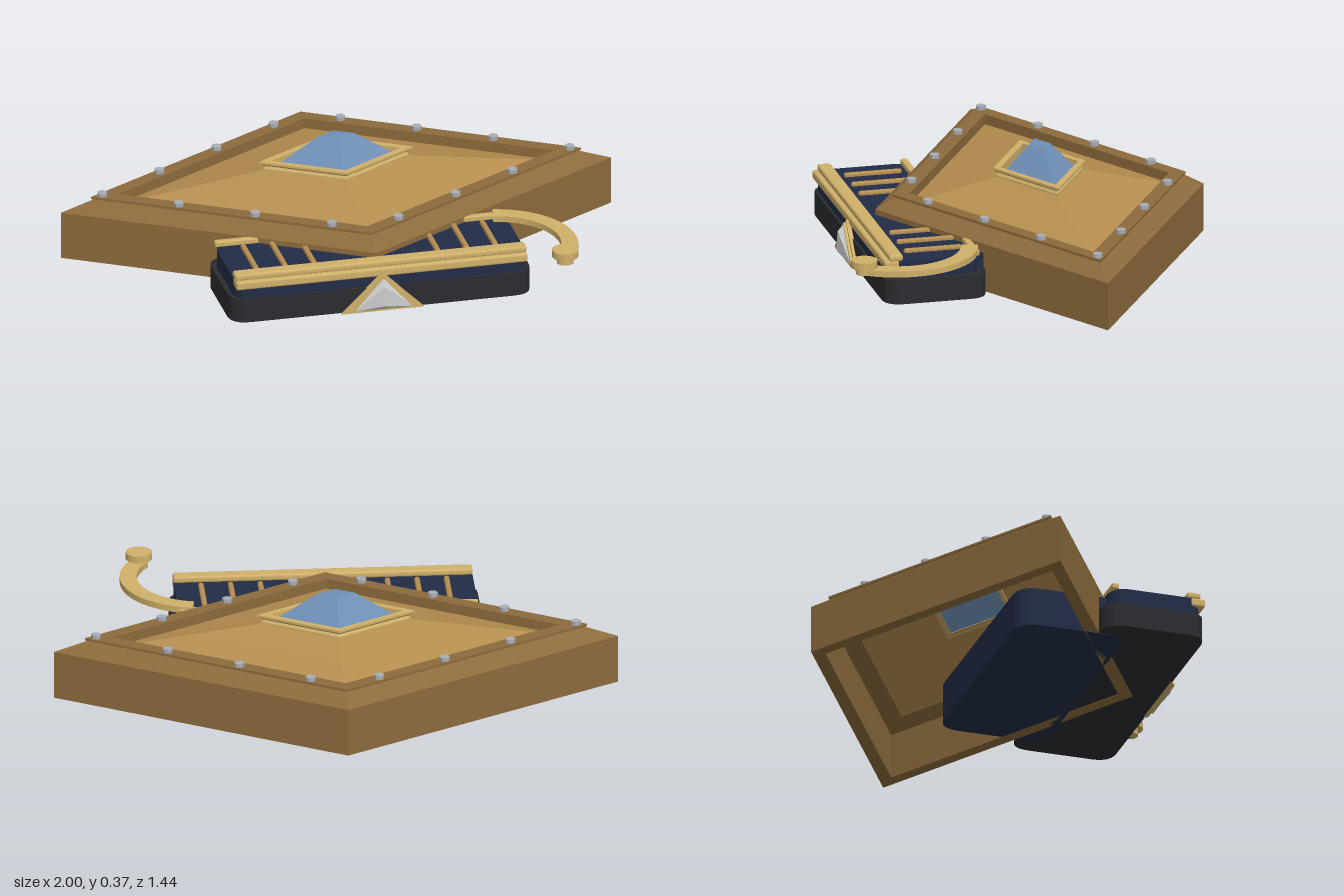
import * as THREE from 'three';
import { RoundedBoxGeometry } from 'three/addons/geometries/RoundedBoxGeometry.js';
import { ConvexGeometry } from 'three/addons/geometries/ConvexGeometry.js';

const mat = (color) => new THREE.MeshStandardMaterial({ color, flatShading: true, side: THREE.DoubleSide });
const BRONZE = mat(0x8c6b3c), PANEL = mat(0xb68e50), GOLD = mat(0xcfb06a), GLASS = mat(0x6f8fb5);
const NAVY = mat(0x222c46), DARK = mat(0x2a2c30), STEEL = mat(0xa8adb5), SILVER = mat(0xcccccc);

const CENTRE_Z = -0.125; // middle of the rhombus
const DEPTH = 0.598;     // depth of the rhombus relative to its width

export function createModel() {
  const group = new THREE.Group();

  const add = (name, geometry, material, x = 0, y = 0, z = 0) => {
    const mesh = new THREE.Mesh(geometry, material);
    mesh.name = name;
    mesh.position.set(x, y, z);
    group.add(mesh);
    return mesh;
  };

  // Four-sided loft: profile of [half width, height]
  const rhombus = (name, profile, material) => {
    const g = new THREE.LatheGeometry(profile.map(([r, y]) => new THREE.Vector2(r, y)), 4);
    g.scale(1, 1, DEPTH);
    return add(name, g, material, 0, 0, CENTRE_Z);
  };

  // Flat extrusion of an x/-z outline, standing between y0 and y1
  const upright = (name, shape, y0, y1, material, segments = 6) => {
    const g = new THREE.ExtrudeGeometry(shape, { depth: y1 - y0, bevelEnabled: false, curveSegments: segments });
    g.rotateX(-Math.PI / 2);
    return add(name, g, material, 0, y0, 0);
  };

  // Slab with rounded plan corners
  const slab = (name, w, zBack, zFront, r, y0, y1, material) => {
    const s = new THREE.Shape();
    const a = -zFront, b = -zBack;
    s.moveTo(-w + r, a);
    s.lineTo(w - r, a);
    s.quadraticCurveTo(w, a, w, a + r);
    s.lineTo(w, b - r);
    s.quadraticCurveTo(w, b, w - r, b);
    s.lineTo(-w + r, b);
    s.quadraticCurveTo(-w, b, -w, b - r);
    s.lineTo(-w, a + r);
    s.quadraticCurveTo(-w, a, -w + r, a);
    return upright(name, s, y0, y1, material);
  };

  // Rhombus housing, hollow underneath
  rhombus('housingFrame', [
    [0.91, 0], [1, 0], [1, 0.175], [0.88, 0.215], [0.79, 0.215],
    [0.79, 0.185], [0.91, 0.165], [0.91, 0],
  ], BRONZE);
  rhombus('rimPlate', [[0.79, 0.185], [0.79, 0.225], [0.89, 0.225], [0.89, 0.216], [0.79, 0.216]], BRONZE);
  rhombus('topPanel', [[0.8, 0.186], [0.5, 0.228], [0.27, 0.262], [0.235, 0.262]], PANEL);

  // Stepped bezel and faceted window
  rhombus('bezelBase', [[0.235, 0.255], [0.265, 0.255], [0.265, 0.268], [0.25, 0.28], [0.235, 0.28]], GOLD);
  rhombus('bezelTop', [[0.235, 0.262], [0.25, 0.275], [0.28, 0.287], [0.28, 0.295], [0.235, 0.295], [0.235, 0.262]], GOLD);
  rhombus('window', [[0.24, 0.262], [0.185, 0.295], [0.067, 0.37], [0, 0.371]], GLASS);

  // Bolts evenly spaced along the rim
  const corners = [[0.85, 0], [0, 0.85], [-0.85, 0], [0, -0.85]];
  const boltAt = (x, z) => add('bolt', new THREE.CylinderGeometry(0.018, 0.018, 0.016, 8), STEEL,
    x, 0.231, CENTRE_Z + z * DEPTH);
  for (const sx of [-1, 1]) {
    boltAt(sx * corners[0][0], 0);
    for (const sz of [-1, 1]) {
      for (let i = 1; i <= 3; i++) {
        const x = 0.85 - i * 0.243;
        boltAt(sx * x, sz * (0.85 - x));
      }
    }
  }

  // Body reaching under the housing
  slab('rearBody', 0.465, -0.1, 0.3, 0.08, 0, 0.142, NAVY);
  slab('lowerBody', 0.548, 0.195, 0.57, 0.07, 0.002, 0.09, DARK);
  slab('upperBody', 0.53, 0.225, 0.56, 0.06, 0.09, 0.156, NAVY);

  // Trim bars and ribs
  add('frontTrimLower', new RoundedBoxGeometry(1.06, 0.032, 0.055, 2, 0.008), GOLD, 0, 0.143, 0.543);
  add('frontTrimUpper', new RoundedBoxGeometry(1.06, 0.024, 0.05, 2, 0.008), GOLD, 0, 0.168, 0.528);
  add('rearTrim', new RoundedBoxGeometry(1.06, 0.022, 0.026, 2, 0.006), GOLD, 0, 0.164, 0.237);
  for (const side of [-1, 1]) {
    for (const x of [0.225, 0.33, 0.435]) {
      add('rib', new RoundedBoxGeometry(0.02, 0.02, 0.21, 2, 0.008), PANEL, side * x, 0.16, 0.373);
    }
  }

  // Curved lever with a round knob
  const lever = new THREE.Shape();
  const start = 1.38, end = -0.67;
  lever.absarc(0.43, -0.505, 0.29, start, end, true);
  lever.absarc(0.43, -0.505, 0.23, end, start, false);
  upright('lever', lever, 0.16, 0.182, GOLD, 20);
  add('knobNeck', new THREE.CylinderGeometry(0.03, 0.03, 0.03, 20), GOLD, 0.64, 0.175, 0.673);
  add('knob', new THREE.CylinderGeometry(0.047, 0.047, 0.026, 24), GOLD, 0.64, 0.198, 0.673);

  // Triangular ornament on the front
  const triangle = (name, w, y0, y1, z0, z1, material) => {
    const s = new THREE.Shape([new THREE.Vector2(-w, y0), new THREE.Vector2(w, y0), new THREE.Vector2(0, y1)]);
    add(name, new THREE.ExtrudeGeometry(s, { depth: z1 - z0, bevelEnabled: false }), material, 0, 0, z0);
  };
  triangle('ornamentBack', 0.15, 0, 0.145, 0.565, 0.58, GOLD);
  triangle('ornamentFront', 0.125, 0.005, 0.135, 0.58, 0.59, GOLD);
  add('ornamentGem', new ConvexGeometry([
    new THREE.Vector3(-0.108, 0.01, 0.588), new THREE.Vector3(0.108, 0.01, 0.588),
    new THREE.Vector3(0, 0.13, 0.588), new THREE.Vector3(0, 0.03, 0.612), new THREE.Vector3(0, 0.105, 0.61),
  ]), SILVER);

  return group;
}
